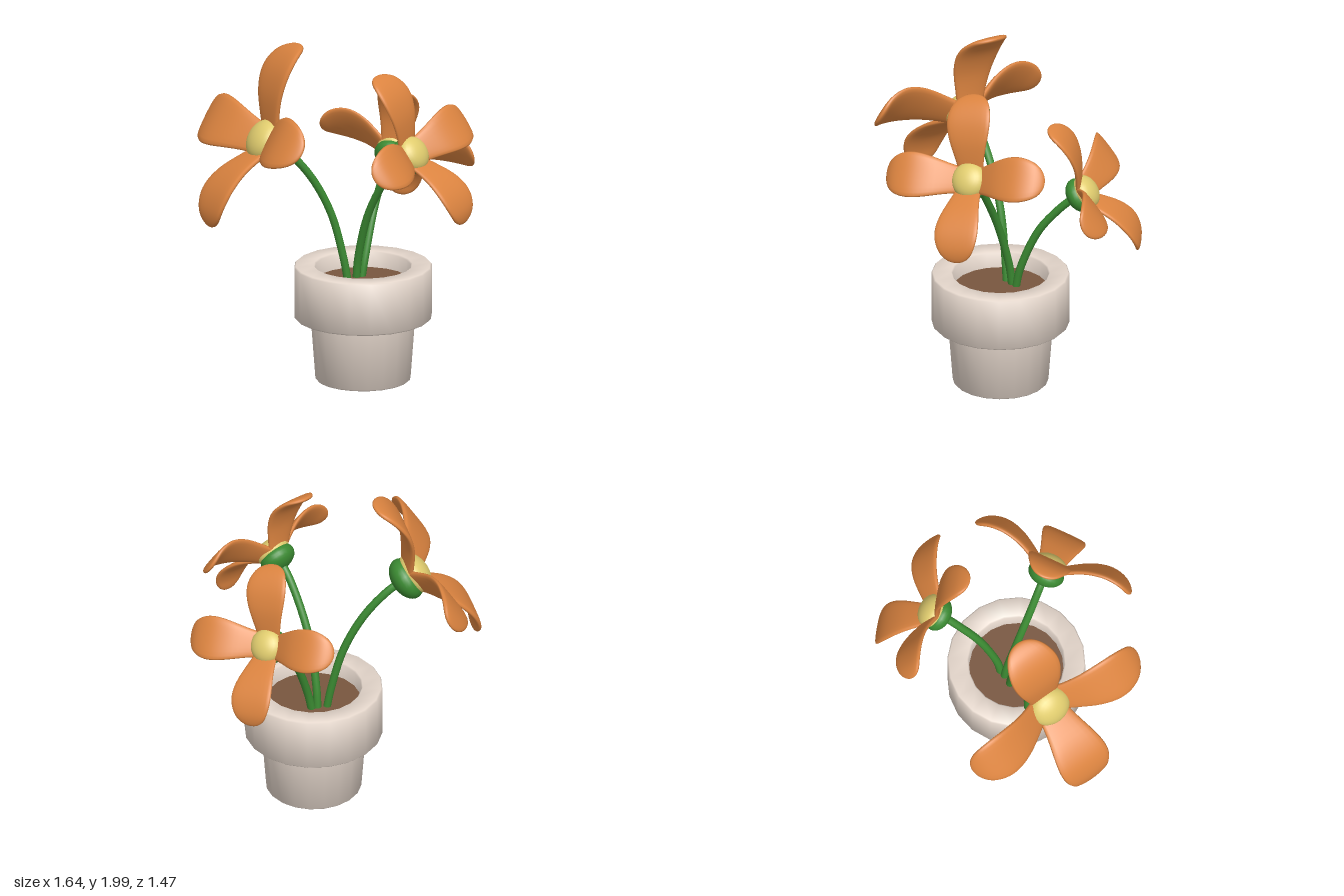
import * as THREE from 'three';
import { toCreasedNormals } from 'three/addons/utils/BufferGeometryUtils.js';

const mat = (name, color) => {
  const m = new THREE.MeshStandardMaterial({ color });
  m.name = name;
  return m;
};
const V = (a) => new THREE.Vector3(...a);

// Petal growing along +x, facing +y: rises, flattens, then curls back at a rounded tip
function petalGeometry() {
  const spine = new THREE.CatmullRomCurve3([
    [0.03, -0.045, 0], [0.14, 0.03, 0], [0.26, 0.092, 0],
    [0.39, 0.12, 0], [0.5, 0.105, 0], [0.585, 0.06, 0],
  ].map(V));
  const rings = 28, sides = 20, pos = [], index = [];
  for (let i = 0; i <= rings; i++) {
    const s = 1 - (1 - i / rings) ** 2;
    const p = spine.getPointAt(s), t = spine.getTangentAt(s);
    const round = Math.sqrt(Math.max(0, 1 - s ** 5.5));
    const w = THREE.MathUtils.lerp(0.09, 0.17, THREE.MathUtils.smoothstep(s, 0, 0.75)) * round;
    const h = 0.022 * Math.sqrt(Math.max(0, 1 - s ** 20));
    for (let j = 0; j < sides; j++) {
      const a = (j / sides) * Math.PI * 2, c = Math.cos(a), sn = Math.sin(a);
      // thick-edged section, sides lifted into a very shallow cup
      const n = h * Math.sign(sn) * Math.abs(sn) ** 0.7 + 0.3 * (w * c) ** 2;
      pos.push(p.x - t.y * n, p.y + t.x * n, w * c);
      if (i < rings) {
        const A = i * sides + j, D = i * sides + (j + 1) % sides;
        index.push(A, A + sides, D, A + sides, D + sides, D);
      }
    }
  }
  const g = new THREE.BufferGeometry();
  g.setAttribute('position', new THREE.Float32BufferAttribute(pos, 3));
  g.setIndex(index);
  g.computeVertexNormals();
  return g;
}

export function createModel() {
  const clay = mat('clay', 0xe4d6cb);
  const soilBrown = mat('soil brown', 0x78563f);
  const green = mat('leaf green', 0x3b8a32);
  const orange = mat('petal orange', 0xdc8440);
  const yellow = mat('pollen yellow', 0xe0cc6e);

  const model = new THREE.Group();
  model.name = 'pottedFlowers';
  const add = (parent, name, geo, material) => {
    const m = new THREE.Mesh(geo, material);
    m.name = name;
    parent.add(m);
    return m;
  };

  // Pot: tapered body, wide rim with soft bevels, hollow down to the soil
  const pot = new THREE.Group();
  pot.name = 'pot';
  pot.position.set(0.13, 0, 0.025);
  model.add(pot);
  const profile = [
    [0, 0], [0.267, 0], [0.275, 0.008], [0.302, 0.368], [0.388, 0.368], [0.397, 0.377],
    [0.397, 0.672], [0.389, 0.68], [0.283, 0.68], [0.275, 0.672], [0.27, 0.56],
  ].map(([r, y]) => new THREE.Vector2(r, y));
  add(pot, 'potBody', toCreasedNormals(new THREE.LatheGeometry(profile, 20), 0.95), clay);
  const soil = add(pot, 'soil', new THREE.CylinderGeometry(0.272, 0.272, 0.02, 20), soilBrown);
  soil.position.y = 0.575;

  // Flowers: heart position, facing axis, direction of the upper petal, size, stem path
  const flowers = [
    { name: 'leftFlower', at: [-0.45, 1.46, 0.07], axis: [-0.806, 0.528, 0.267],
      up: [0.53, 0.93, -0.28], size: 1,
      stem: [[0.05, 0.56, -0.035], [0.025, 0.7, -0.035], [-0.05, 0.98, -0.03],
        [-0.17, 1.21, -0.01], [-0.31, 1.37, 0.02]] },
    { name: 'frontFlower', at: [0.39, 1.415, 0.29], axis: [0.617, 0.541, 0.571],
      up: [-0.47, 0.8, -0.25], size: 0.84,
      stem: [[0.1, 0.56, -0.055], [0.108, 0.7, -0.035], [0.155, 0.98, 0.045],
        [0.235, 1.2, 0.14], [0.31, 1.34, 0.215]] },
    { name: 'backFlower', at: [0.36, 1.235, -0.42], axis: [0.404, 0.54, -0.739],
      up: [-0.08, 0.73, 0.49], size: 0.8,
      stem: [[0.13, 0.56, -0.065], [0.155, 0.7, -0.085], [0.215, 0.95, -0.175],
        [0.27, 1.09, -0.27], [0.31, 1.165, -0.335]] },
  ];
  const petal = petalGeometry();
  const ball = new THREE.SphereGeometry(1, 24, 16);

  for (const f of flowers) {
    const Y = V(f.axis).normalize();
    const X = V(f.up).addScaledVector(Y, -V(f.up).dot(Y)).normalize();
    const Z = new THREE.Vector3().crossVectors(X, Y);

    const head = new THREE.Group();
    head.name = f.name;
    head.position.copy(V(f.at));
    head.quaternion.setFromRotationMatrix(new THREE.Matrix4().makeBasis(X, Y, Z));
    head.scale.setScalar(f.size);
    model.add(head);

    const heart = add(head, 'flowerHeart', ball, yellow);
    heart.scale.set(0.125, 0.08, 0.125);
    const calyx = add(head, 'calyx', ball, green);
    calyx.scale.set(0.128, 0.085, 0.128);
    calyx.position.y = -0.06;
    for (let i = 0; i < 4; i++) {
      add(head, 'petal', petal, orange).rotation.y = (i * Math.PI) / 2;
    }

    // Stem bends into the underside of the calyx
    const path = f.stem.map(V);
    path.push(V(f.at).addScaledVector(Y, -0.07 * f.size));
    const curve = new THREE.CatmullRomCurve3(path);
    add(model, f.name + 'Stem', new THREE.TubeGeometry(curve, 28, 0.023, 10), green);
  }
  return model;
}
